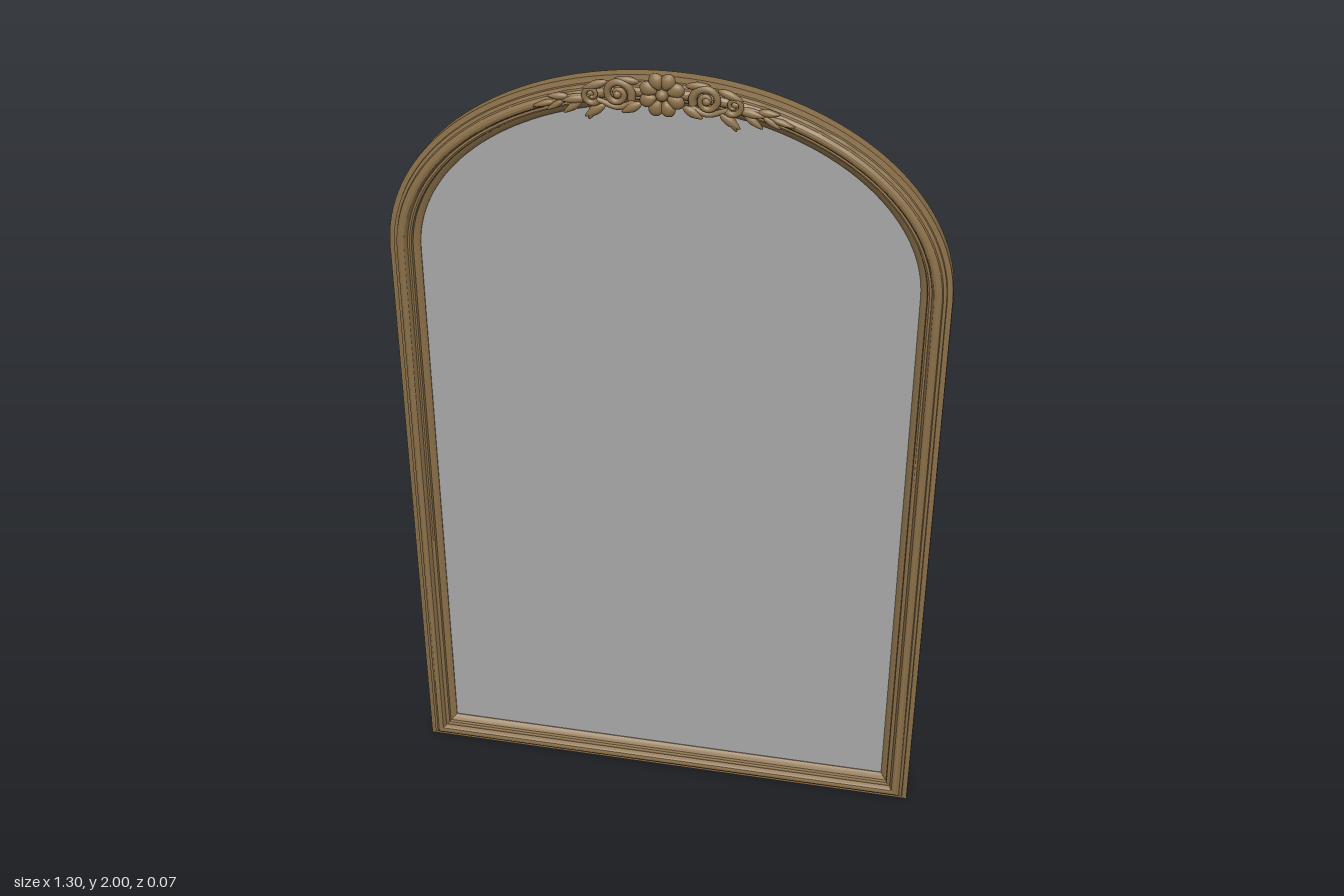
import * as THREE from 'three';
import { toCreasedNormals } from 'three/addons/utils/BufferGeometryUtils.js';

const HALF = 0.65, SPRING = 1.5, RISE = 0.48;

// Outline of the arch, inset by d, counter-clockwise from the bottom left corner
function outline(d) {
  const pts = [[-HALF + d, d], [HALF - d, d]];
  const steps = 72;
  for (let i = 0; i <= steps; i++) {
    const t = (i / steps) * Math.PI;
    const c = Math.cos(t), s = Math.sin(t);
    const n = Math.hypot(RISE * c, HALF * s);
    pts.push([HALF * c - (d * RISE * c) / n, SPRING + RISE * s - (d * HALF * s) / n]);
  }
  return pts;
}

// Moulding: profile of [inset, z] swept round the outline with mitred corners
function mouldingGeometry(profile) {
  const pos = [], idx = [];
  const loops = profile.map(([d]) => outline(d));
  const n = loops[0].length;
  profile.forEach(([, z], j) => loops[j].forEach(([x, y]) => pos.push(x, y, z)));
  for (let j = 0; j < profile.length - 1; j++) {
    for (let i = 0; i < n; i++) {
      const a = j * n + i, b = j * n + ((i + 1) % n);
      idx.push(a, b, b + n, a, b + n, a + n);
    }
  }
  const g = new THREE.BufferGeometry();
  g.setAttribute('position', new THREE.Float32BufferAttribute(pos, 3));
  g.setIndex(idx);
  return toCreasedNormals(g, 0.45);
}

function paneGeometry(d) {
  return new THREE.ShapeGeometry(new THREE.Shape(outline(d).map(([x, y]) => new THREE.Vector2(x, y))));
}

// Tube that thins from r0 to r1 along its path
function taperedTube(points, r0, r1, segments = 40) {
  const curve = new THREE.CatmullRomCurve3(points);
  const radial = 8;
  const g = new THREE.TubeGeometry(curve, segments, 1, radial);
  const p = g.attributes.position, v = new THREE.Vector3();
  for (let i = 0; i < p.count; i++) {
    const u = Math.floor(i / (radial + 1)) / segments;
    const c = curve.getPointAt(u);
    v.fromBufferAttribute(p, i).sub(c).multiplyScalar(r0 + (r1 - r0) * u).add(c);
    p.setXYZ(i, v.x, v.y, v.z);
  }
  return g;
}

// Teardrop leaf, root at the origin, tip along +x
function leafGeometry(length, width, depth) {
  const g = new THREE.SphereGeometry(1, 14, 10);
  const p = g.attributes.position;
  for (let i = 0; i < p.count; i++) {
    const x = p.getX(i), taper = 1 - 0.5 * Math.max(0, x);
    p.setXYZ(i, ((x + 1) * length) / 2, (p.getY(i) * taper * width) / 2, (p.getZ(i) * depth) / 2);
  }
  g.computeVertexNormals();
  return g;
}

export function createModel() {
  const bronze = new THREE.MeshStandardMaterial({ color: 0x8b7049 });
  bronze.name = 'antique bronze';
  const silver = new THREE.MeshStandardMaterial({ color: 0xa8a8a8 });
  silver.name = 'mirror silver';
  const slate = new THREE.MeshStandardMaterial({ color: 0x606060 });
  slate.name = 'backing grey';

  const model = new THREE.Group();
  model.name = 'archedMirror';
  const add = (parent, name, geo, mat, x = 0, y = 0, z = 0, rz = 0) => {
    const m = new THREE.Mesh(geo, mat);
    m.name = name;
    m.position.set(x, y, z);
    m.rotation.z = rz;
    parent.add(m);
    return m;
  };

  // Frame: stepped outer edge, rounded crown, hollow and inner lip
  add(model, 'frame', mouldingGeometry([
    [0, -0.035], [0, -0.008], [0.012, -0.006], [0.013, 0], [0.02, 0.002],
    [0.022, 0.009], [0.028, 0.014], [0.034, 0.015], [0.04, 0.013], [0.044, 0.008],
    [0.046, 0.002], [0.051, 0.003], [0.055, 0.001], [0.057, -0.006],
    [0.066, -0.01], [0.072, -0.016], [0.073, -0.035], [0, -0.035],
  ]), bronze);

  // Glass and its backing
  add(model, 'mirrorGlass', paneGeometry(0.068), silver, 0, 0, -0.018);
  add(model, 'backingPanel', paneGeometry(0.07).rotateY(Math.PI), slate, 0, 0, -0.025);

  // Crest: rosette in the middle
  const crest = new THREE.Group();
  crest.name = 'crest';
  model.add(crest);
  const cy = 1.948;
  const disc = new THREE.CylinderGeometry(0.03, 0.036, 0.016, 24).rotateX(Math.PI / 2);
  add(crest, 'rosetteBase', disc, bronze, 0, cy, 0.014);
  const petal = leafGeometry(0.04, 0.034, 0.022).rotateZ(Math.PI);
  for (let i = 0; i < 8; i++) {
    const a = (i / 8) * Math.PI * 2 + Math.PI / 8;
    add(crest, 'petal', petal, bronze, 0.052 * Math.cos(a), cy + 0.052 * Math.sin(a), 0.021, a);
  }
  add(crest, 'rosetteBud', new THREE.SphereGeometry(0.014, 16, 12), bronze, 0, cy, 0.021);

  // Scrolls and trailing leaves, mirrored to both sides
  const spiral = (cx, cyy, r, turns, start, dir, s, z) => {
    const pts = [];
    for (let i = 0; i <= 20; i++) {
      const u = i / 20, a = start + dir * u * turns * Math.PI * 2, q = r * (1 - 0.8 * u);
      pts.push(new THREE.Vector3(s * (cx + q * Math.cos(a)), cyy + q * Math.sin(a), z));
    }
    return pts;
  };
  // x, y, length, width, angle, z
  const leaves = [
    [0.045, 1.925, 0.05, 0.022, -0.5, 0.02], [0.05, 1.972, 0.055, 0.018, 0.1, 0.018],
    [0.12, 1.968, 0.06, 0.02, -0.35, 0.018], [0.125, 1.915, 0.055, 0.022, -0.6, 0.019],
    [0.145, 1.915, 0.042, 0.018, -1.15, 0.018], [0.165, 1.925, 0.06, 0.02, -0.15, 0.017],
    [0.175, 1.92, 0.055, 0.018, -0.65, 0.016], [0.205, 1.925, 0.05, 0.018, -0.05, 0.015],
    [0.215, 1.918, 0.05, 0.016, -0.6, 0.015], [0.235, 1.912, 0.055, 0.015, -0.3, 0.014],
  ];
  for (const s of [1, -1]) {
    const side = new THREE.Group();
    side.name = s > 0 ? 'leftScrollwork' : 'rightScrollwork';
    crest.add(side);
    add(side, 'largeScroll', taperedTube(spiral(0.097, 1.943, 0.032, 1.5, Math.PI * 1.1, -1, s, 0.022), 0.01, 0.006), bronze);
    add(side, 'scrollEye', new THREE.SphereGeometry(0.01, 12, 10), bronze, s * 0.097, 1.943, 0.023);
    add(side, 'smallScroll', taperedTube(spiral(0.155, 1.936, 0.021, 1.3, Math.PI * 1.2, 1, s, 0.02), 0.008, 0.004), bronze);
    add(side, 'stem', taperedTube([
      [0.06, 1.922], [0.1, 1.91], [0.14, 1.922], [0.19, 1.928], [0.24, 1.912], [0.285, 1.893],
    ].map(([x, y]) => new THREE.Vector3(s * x, y, 0.015)), 0.008, 0.003), bronze);
    for (const [x, y, l, w, a, z] of leaves) {
      add(side, 'leaf', leafGeometry(l, w, 0.016), bronze, s * x, y, z, s > 0 ? a : Math.PI - a);
    }
  }
  return model;
}
